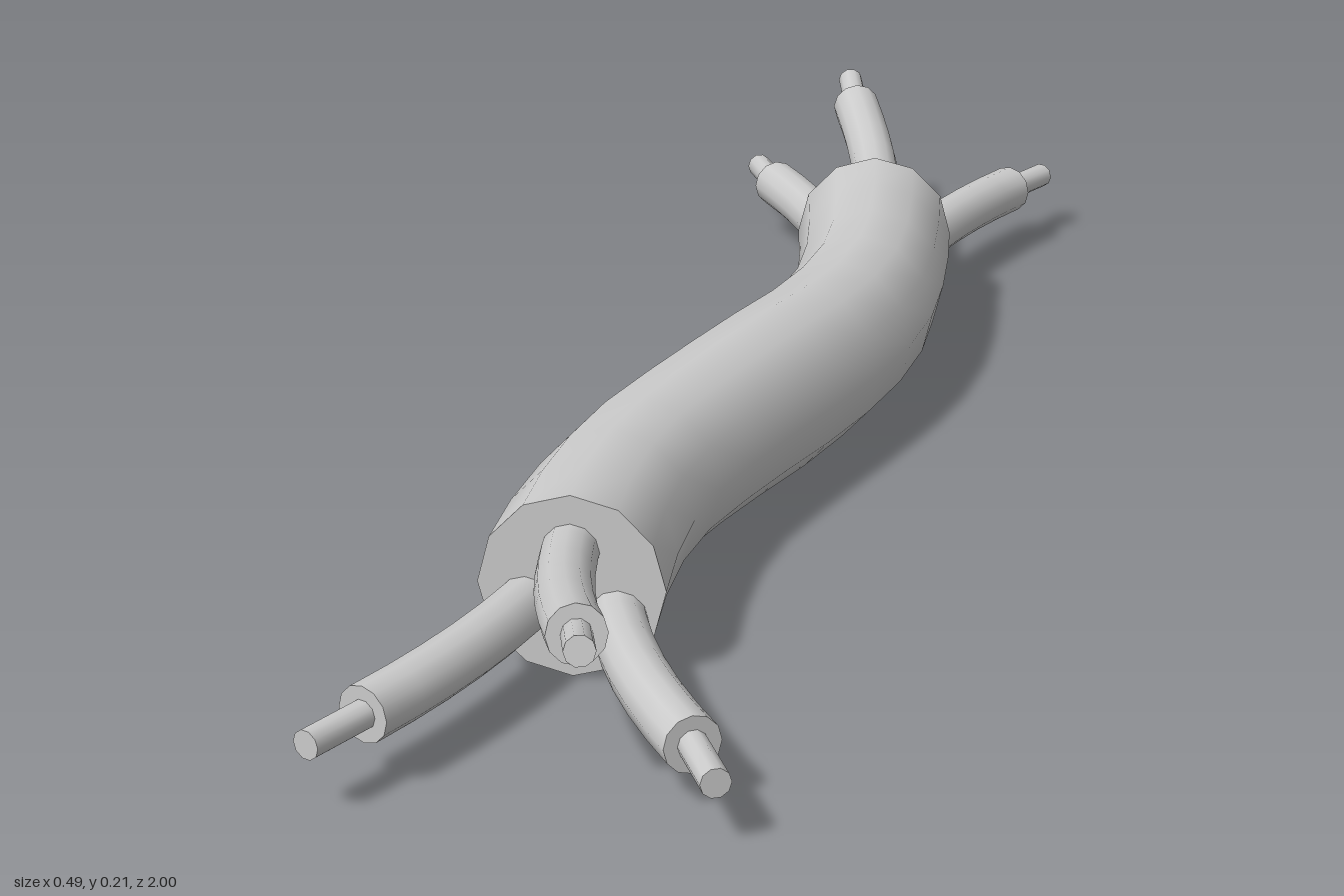
import * as THREE from 'three';

const material = new THREE.MeshStandardMaterial({ color: 0xcccccc });
const V = (x, y, z) => new THREE.Vector3(x, y, z);

// Capped sweep along a curve; size(t) gives [half width, half height] of the section
function sweep(name, curve, segments, sides, size) {
  const positions = [], index = [];
  const ring = (t) => {
    const centre = curve.getPointAt(t), tangent = curve.getTangentAt(t);
    const side = V(0, 1, 0).cross(tangent).normalize();
    const up = tangent.clone().cross(side);
    const [w, h] = size(t);
    for (let j = 0; j < sides; j++) {
      const a = (j / sides) * Math.PI * 2;
      const p = centre.clone().addScaledVector(side, w * Math.cos(a)).addScaledVector(up, h * Math.sin(a));
      positions.push(p.x, p.y, p.z);
    }
  };
  for (let i = 0; i <= segments; i++) ring(i / segments);
  for (let i = 0; i < segments; i++) {
    for (let j = 0; j < sides; j++) {
      const a = i * sides + j, b = i * sides + ((j + 1) % sides);
      index.push(a, b, b + sides, a, b + sides, a + sides);
    }
  }
  // Flat end caps with their own vertices
  for (const t of [0, 1]) {
    const start = positions.length / 3;
    ring(t);
    for (let j = 1; j < sides - 1; j++) {
      if (t) index.push(start, start + j, start + j + 1);
      else index.push(start, start + j + 1, start + j);
    }
  }
  const geometry = new THREE.BufferGeometry();
  geometry.setAttribute('position', new THREE.Float32BufferAttribute(positions, 3));
  geometry.setIndex(index);
  geometry.computeVertexNormals();
  const mesh = new THREE.Mesh(geometry, material);
  mesh.name = name;
  return mesh;
}

// Insulated wire that bends outward, with a bare core at its tip
function makeWire(name, start, bend, end, tip) {
  const wire = new THREE.Group();
  wire.name = name;
  const path = new THREE.QuadraticBezierCurve3(start, bend, end);
  wire.add(sweep('insulation', path, 6, 12, () => [0.031, 0.031]));
  const root = end.clone().lerp(tip, -0.3);
  wire.add(sweep('bareCore', new THREE.LineCurve3(root, tip), 1, 10, () => [0.016, 0.016]));
  return wire;
}

// Three wires fanning out of one end
function makeWireEnd(name) {
  const end = new THREE.Group();
  end.name = name;
  end.add(
    makeWire('upperWire', V(-0.025, 0.14, 0.58), V(0.0, 0.145, 0.73), V(0.08, 0.185, 0.905), V(0.105, 0.201, 0.975)),
    makeWire('leftWire', V(0.02, 0.07, 0.58), V(0.07, 0.07, 0.73), V(0.188, 0.07, 0.88), V(0.232, 0.07, 0.955)),
    makeWire('rightWire', V(-0.062, 0.08, 0.58), V(-0.075, 0.08, 0.75), V(-0.138, 0.078, 0.915), V(-0.168, 0.077, 0.992)),
  );
  return end;
}

export function createModel() {
  const model = new THREE.Group();
  model.name = 'cable';

  // Outer sheath with a gentle S-bend, slightly flared at both ends
  const path = new THREE.CatmullRomCurve3([
    [0.017, -0.607], [0.052, -0.45], [0.071, -0.3], [0.064, -0.15], [0.035, 0],
    [0.0, 0.15], [-0.032, 0.33], [-0.033, 0.48], [-0.017, 0.617],
  ].map(([x, z]) => V(x, 0.103, z)));
  model.add(sweep('sheath', path, 12, 12, (t) => {
    const u = Math.abs(2 * t - 1);
    const flare = Math.max(0, (u - 0.6) / 0.4);
    const dip = Math.sin(Math.PI * u);
    return [0.092 + 0.008 * flare, 0.102 - 0.005 * dip];
  }));

  // Matching wire ends, turned half round for the back
  const front = makeWireEnd('frontWires');
  const back = makeWireEnd('backWires');
  back.rotation.y = Math.PI;
  model.add(front, back);
  return model;
}
